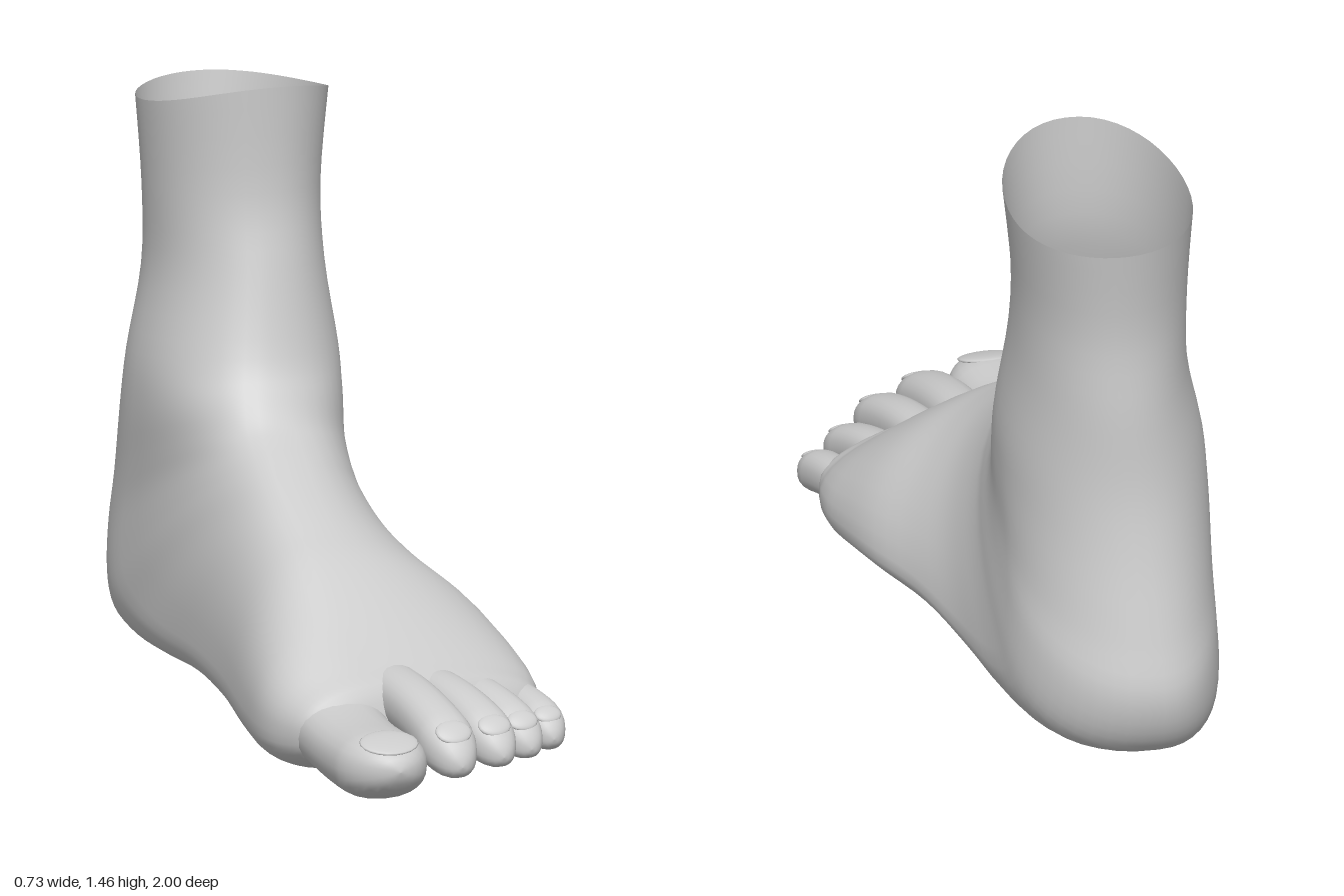
import * as THREE from 'three';

const material = new THREE.MeshStandardMaterial({ color: 0xcccccc, side: THREE.DoubleSide });
const { smoothstep } = THREE.MathUtils;
const AROUND = 48;

// Skin a list of closed rings (arrays of Vector3) with smooth normals
function loft(rings, name) {
  const n = rings[0].length, index = [];
  for (let i = 0; i < rings.length - 1; i++) {
    for (let j = 0; j < n; j++) {
      const a = i * n + j, b = i * n + (j + 1) % n;
      index.push(a, b, a + n, b, b + n, a + n);
    }
  }
  const geometry = new THREE.BufferGeometry().setFromPoints(rings.flat());
  geometry.setIndex(index);
  geometry.computeVertexNormals();
  const mesh = new THREE.Mesh(geometry, material);
  mesh.name = name;
  return mesh;
}

// Smooth interpolation between table rows
function sample(rows, u) {
  const i = Math.min(Math.floor(u), rows.length - 2), f = u - i;
  const row = k => rows[Math.min(Math.max(k, 0), rows.length - 1)];
  return rows[i].map((p1, c) => {
    const p0 = row(i - 1)[c], p2 = row(i + 1)[c], p3 = row(i + 2)[c];
    return p1 + 0.5 * f * (p2 - p0 + f * (2 * p0 - 5 * p1 + 4 * p2 - p3 + f * (3 * (p1 - p2) + p3 - p0)));
  });
}

// Sections fan from the ankle opening round the heel to the toe roots:
// heel/sole point z, y, then shin/instep point z, y
const PROFILE = [
  [-0.90, 1.36, -0.34, 1.46], [-0.87, 1.13, -0.34, 1.20], [-0.88, 0.92, -0.30, 1.02],
  [-0.89, 0.72, -0.24, 0.82], [-0.92, 0.55, -0.19, 0.735], [-0.97, 0.35, -0.145, 0.68],
  [-1.00, 0.21, -0.10, 0.65], [-0.965, 0.09, -0.05, 0.625], [-0.88, 0.025, -0.01, 0.605],
  [-0.70, 0.01, 0.04, 0.58], [-0.45, 0.03, 0.11, 0.545], [-0.20, 0.05, 0.19, 0.505],
  [0.05, 0.04, 0.28, 0.46], [0.28, 0.015, 0.40, 0.38], [0.43, 0.005, 0.49, 0.315],
  [0.53, 0.015, 0.56, 0.265], [0.60, 0.045, 0.625, 0.22], [0.655, 0.12, 0.655, 0.12],
];
// Inner x, outer x, crest x, and how far up each section is widest
const WIDTH = [
  [-0.265, 0.18, -0.04, 0.5], [-0.255, 0.155, -0.045, 0.5], [-0.257, 0.157, -0.055, 0.5],
  [-0.30, 0.18, -0.075, 0.5], [-0.31, 0.183, -0.09, 0.48], [-0.305, 0.183, -0.10, 0.44],
  [-0.303, 0.19, -0.105, 0.39], [-0.31, 0.20, -0.11, 0.34], [-0.315, 0.205, -0.115, 0.31],
  [-0.315, 0.215, -0.12, 0.28], [-0.32, 0.235, -0.12, 0.25], [-0.32, 0.275, -0.12, 0.25],
  [-0.33, 0.335, -0.125, 0.27], [-0.355, 0.363, -0.13, 0.32], [-0.365, 0.362, -0.14, 0.38],
  [-0.34, 0.35, -0.13, 0.42], [-0.29, 0.32, -0.10, 0.48], [-0.17, 0.2, -0.05, 0.5],
];

const power = (v, p) => Math.sign(v) * Math.abs(v) ** (2 / p);

function footBody() {
  const rings = [], last = PROFILE.length - 1, steps = last * 4;
  for (let k = 0; k <= steps; k++) {
    const u = k / 4;
    const [bz, by, tz, ty] = sample(PROFILE, u);
    const [inner, outer, crest, wide] = sample(WIDTH, u);
    const sole = 2 + 0.6 * smoothstep(u, 4, 11);                 // sole gets flatter
    const innerTop = 2.1 + 0.35 * smoothstep(u, 2, 6) - 0.2 * smoothstep(u, 10, 14);
    const outerTop = 2.1 + 0.2 * smoothstep(u, 2, 6) - 0.4 * smoothstep(u, 8, 12) + 0.2 * smoothstep(u, 13, 15);
    const skew = 0.21 * smoothstep(u, 12, 16);                   // toe line slants back
    const dip = 0.03 * Math.max(0, 1 - u);                       // opening dips at its sides
    const ring = [];
    for (let j = 0; j < AROUND; j++) {
      const a = j / AROUND * Math.PI * 2, s = Math.sin(a), c = Math.cos(a);
      const p = s < 0 ? sole : c > 0 ? outerTop : innerTop;
      const side = power(c, p);
      const t = wide + power(s, p) * (s < 0 ? wide : 1 - wide);
      const x = crest + side * (side > 0 ? outer - crest : crest - inner);
      ring.push(new THREE.Vector3(x, by + t * (ty - by) - dip * c * c, bz + t * (tz - bz) - skew * (x - crest)));
    }
    rings.push(ring);
  }
  return loft(rings, 'footAndAnkle');
}

// A toe: bent path, thicker root, rounded tip, thin nail on top
function toe(name, root, knuckle, tip, halfWidth, halfHeight, rootScale) {
  const group = new THREE.Group();
  group.name = name;
  const v = p => new THREE.Vector3(...p);
  const path = new THREE.QuadraticBezierCurve3(v(root), v(knuckle), v(tip));
  const START = 0.78;
  const radius = s => s > START
    ? Math.sqrt(Math.max(0, 1 - ((s - START) / (1 - START)) ** 2))
    : 1 + (rootScale - 1) * (1 - s / START) ** 2 - 0.05 * Math.sin(s / START * Math.PI);
  const stations = [];
  for (let i = 0; i < 10; i++) stations.push(START * i / 10);
  for (let i = 0; i <= 8; i++) stations.push(START + (1 - START) * Math.sin(i / 8 * Math.PI / 2));
  const rings = stations.map(s => {
    const c = path.getPoint(s), r = Math.max(radius(s), 0.001);
    return Array.from({ length: 24 }, (_, j) => {
      const a = j / 24 * Math.PI * 2;
      return new THREE.Vector3(
        c.x + halfWidth * r * power(Math.cos(a), 2.3),
        c.y + halfHeight * r * power(Math.sin(a), 2.3), c.z);
    });
  });
  group.add(loft(rings, name + 'Flesh'));

  const top = s => path.getPoint(s).add(new THREE.Vector3(0, halfHeight * radius(s), 0));
  const slope = top(0.94).sub(top(0.84));
  const nail = new THREE.Mesh(new THREE.SphereGeometry(1, 20, 12), material);
  nail.name = name + 'Nail';
  nail.scale.set(halfWidth * 0.65, 0.01, halfWidth * 0.5);
  nail.position.copy(top(0.89)).y -= 0.009;
  nail.rotation.x = -Math.atan2(slope.y, slope.z);
  group.add(nail);
  return group;
}

export function createModel() {
  const model = new THREE.Group();
  model.name = 'foot';
  model.add(
    footBody(),
    toe('bigToe', [-0.19, 0.17, 0.42], [-0.22, 0.085, 0.68], [-0.19, 0.122, 1.0], 0.112, 0.083, 1.2),
    toe('secondToe', [-0.06, 0.18, 0.42], [-0.035, 0.225, 0.7], [-0.008, 0.10, 0.93], 0.069, 0.068, 1.1),
    toe('thirdToe', [0.035, 0.16, 0.40], [0.08, 0.215, 0.65], [0.122, 0.095, 0.86], 0.063, 0.062, 1.1),
    toe('fourthToe', [0.125, 0.14, 0.36], [0.18, 0.19, 0.58], [0.228, 0.08, 0.76], 0.058, 0.057, 1.1),
    toe('littleToe', [0.23, 0.11, 0.32], [0.30, 0.15, 0.5], [0.315, 0.075, 0.675], 0.052, 0.055, 1.1),
  );
  return model;
}
